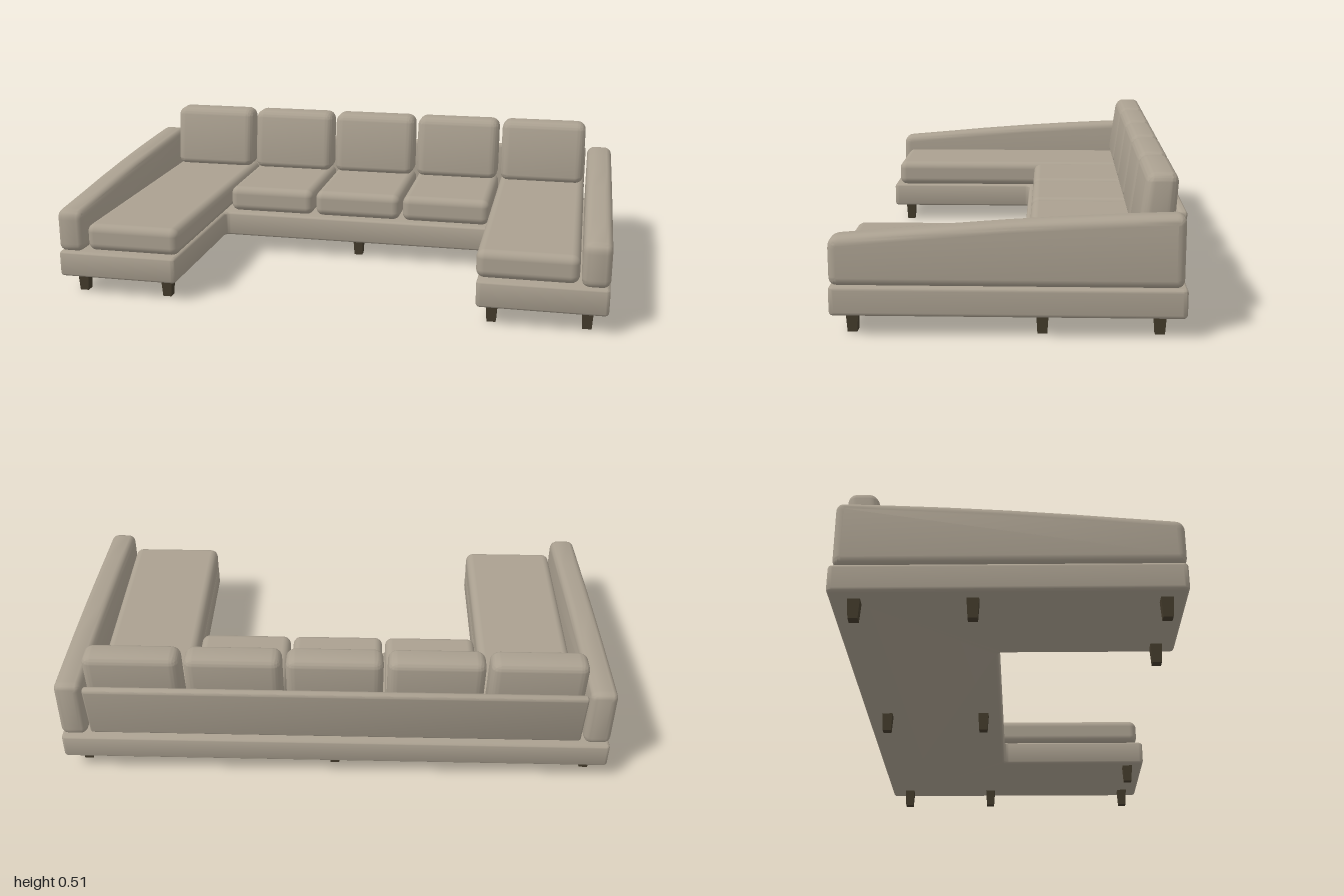
import * as THREE from 'three';
import { toCreasedNormals } from 'three/addons/utils/BufferGeometryUtils.js';
import { RoundedBoxGeometry } from 'three/addons/geometries/RoundedBoxGeometry.js';

// Closed outline from [x, y, cornerRadius] points
function roundedOutline(points) {
  const shape = new THREE.Shape();
  const n = points.length;
  points.forEach(([x, y, r], i) => {
    const p = new THREE.Vector2(x, y);
    const towards = ([qx, qy]) =>
      new THREE.Vector2(qx, qy).sub(p).setLength(r).add(p);
    const a = towards(points[(i + n - 1) % n]);
    const b = towards(points[(i + 1) % n]);
    if (i === 0) shape.moveTo(a.x, a.y);
    else shape.lineTo(a.x, a.y);
    if (r > 0) shape.quadraticCurveTo(x, y, b.x, b.y);
  });
  shape.closePath();
  return shape;
}

// Extrusion with soft edges that stays inside the outline, centred on its depth
function softExtrude(points, depth, bevel) {
  const geometry = new THREE.ExtrudeGeometry(roundedOutline(points), {
    depth: depth - 2 * bevel,
    bevelEnabled: true,
    bevelSize: bevel,
    bevelThickness: bevel,
    bevelOffset: -bevel,
    bevelSegments: 5,
    curveSegments: 6,
  });
  geometry.translate(0, 0, bevel - depth / 2);
  return toCreasedNormals(geometry, 0.6);
}

export function createModel() {
  const sofa = new THREE.Group();
  sofa.name = 'sectionalSofa';
  const fabric = new THREE.MeshStandardMaterial({ name: 'fabric', color: 0xaaa090 });
  const darkWood = new THREE.MeshStandardMaterial({ name: 'darkWood', color: 0x443c2c });

  const add = (name, geometry, material, x = 0, y = 0, z = 0) => {
    const mesh = new THREE.Mesh(geometry, material);
    mesh.name = name;
    mesh.position.set(x, y, z);
    sofa.add(mesh);
    return mesh;
  };

  // U-shaped plinth, drawn in plan (outline y = -z)
  const r = 0.018;
  const base = softExtrude([
    [-1, -0.567, r], [-0.547, -0.567, r], [-0.547, 0.037, r], [0.547, 0.037, r],
    [0.547, -0.567, r], [1, -0.567, r], [1, 0.567, r], [-1, 0.567, r],
  ], 0.097, 0.013).rotateX(-Math.PI / 2);
  add('base', base, fabric, 0, 0.1165, 0);

  // Sloping arms, drawn from the side (outline x = z)
  const arm = softExtrude([
    [-0.556, 0.165, 0.03], [0.566, 0.165, 0.03], [0.566, 0.322, 0.035],
    [0.35, 0.341, 0], [0.2, 0.355, 0], [0, 0.371, 0], [-0.2, 0.384, 0],
    [-0.4, 0.394, 0], [-0.556, 0.4, 0.03],
  ], 0.098, 0.028).rotateY(-Math.PI / 2);
  for (const side of [-1, 1]) add(side > 0 ? 'leftArm' : 'rightArm', arm, fabric, side * 0.951, 0, 0);

  // Thin reclined back panel
  const back = softExtrude([
    [-0.54, 0.165, 0.012], [-0.5, 0.165, 0.012],
    [-0.537, 0.391, 0.015], [-0.569, 0.391, 0.015],
  ], 1.79, 0.011).rotateY(-Math.PI / 2);
  add('backPanel', back, fabric);

  // Back cushion, thinner and leaning backwards towards the top
  const cushionHeight = 0.25;
  const backCushion = new RoundedBoxGeometry(0.344, cushionHeight, 0.12, 5, 0.035);
  const position = backCushion.attributes.position;
  for (let i = 0; i < position.count; i++) {
    const t = position.getY(i) / cushionHeight + 0.5;
    const z = position.getZ(i) * (1.02 - 0.15 * t);
    position.setZ(i, z - 0.465 - 0.025 * t);
  }
  const backCushionGeometry = toCreasedNormals(backCushion, 0.6);
  for (let i = -2; i <= 2; i++) {
    add('backCushion', backCushionGeometry, fabric, i * 0.359, 0.262 + cushionHeight / 2, 0);
  }

  // Seat cushions: three short ones between two long chaises
  const seatHeight = 0.102;
  const seatY = 0.165 + seatHeight / 2;
  const seat = new RoundedBoxGeometry(0.348, seatHeight, 0.47, 5, 0.03);
  for (let i = -1; i <= 1; i++) add('seatCushion', seat, fabric, i * 0.359, seatY, -0.295);
  const chaise = new RoundedBoxGeometry(0.354, seatHeight, 1.073, 5, 0.03);
  for (const side of [-1, 1]) add('chaiseCushion', chaise, fabric, side * 0.719, seatY, 0.0065);

  // Square tapered legs
  const leg = new THREE.CylinderGeometry(0.0285, 0.0225, 0.07, 4).rotateY(Math.PI / 4).toNonIndexed();
  leg.computeVertexNormals();
  const legSpots = [[0, -0.485], [0, -0.11]];
  for (const side of [-1, 1]) {
    for (const [x, z] of [[0.93, 0.5], [0.6, 0.5], [0.93, -0.11], [0.93, -0.485]]) {
      legSpots.push([side * x, z]);
    }
  }
  for (const [x, z] of legSpots) add('leg', leg, darkWood, x, 0.035, z);

  return sofa;
}
